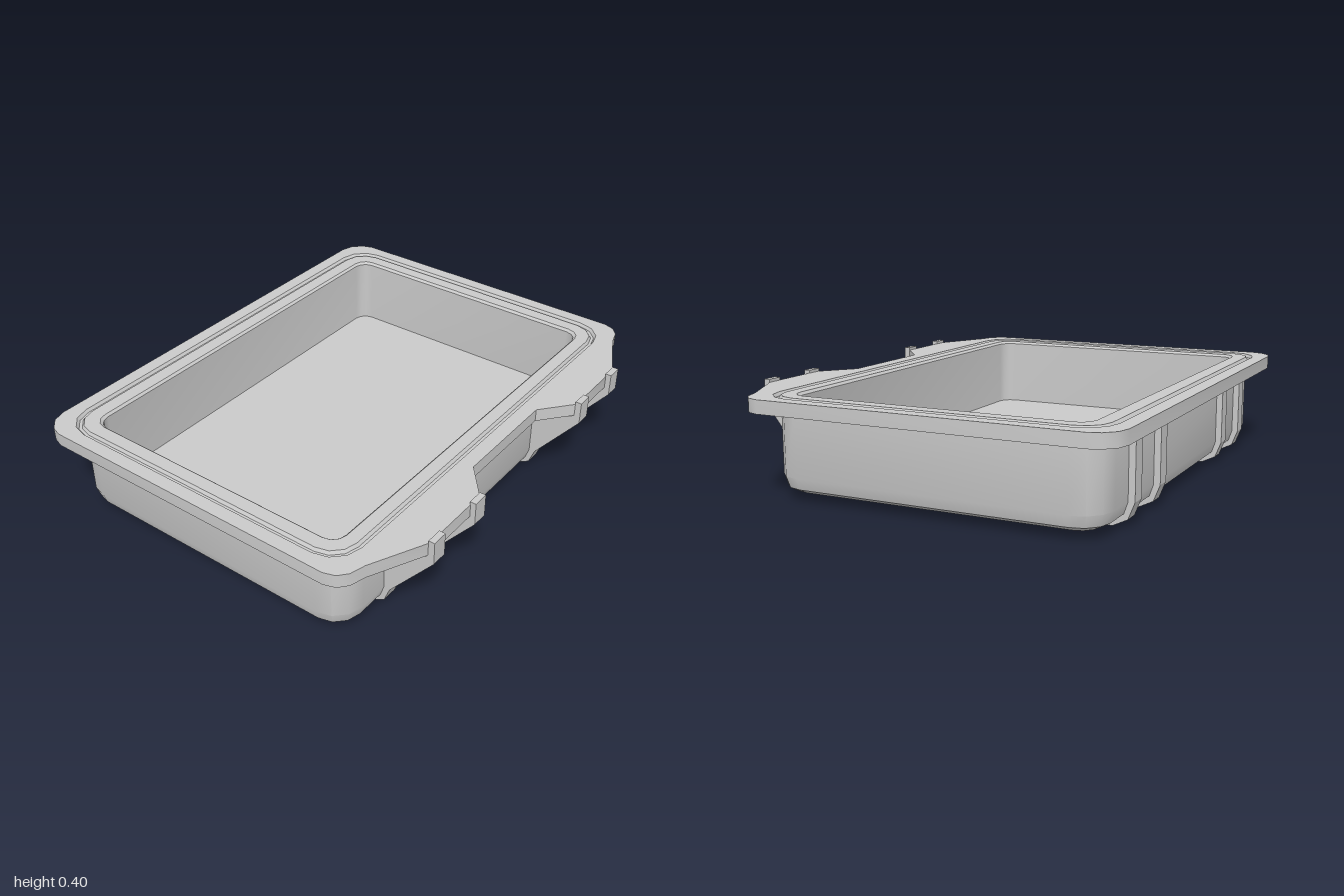
import * as THREE from 'three';
import { toCreasedNormals } from 'three/addons/utils/BufferGeometryUtils.js';

const CORNER_STEPS = 3;
const FLANGE_BOTTOM = 0.337, FLANGE_TOP = 0.39;
const FLOOR = 0.094, BASE = 0.026;

// Rounded rectangle in plan (x, -z), counter-clockwise from above
function plan(hx, zBack, zFront, r) {
  const corners = [
    [hx - r, -zBack - r, 0], [-hx + r, -zBack - r, 1],
    [-hx + r, -zFront + r, 2], [hx - r, -zFront + r, 3],
  ];
  const pts = [];
  for (const [cx, cy, q] of corners) {
    for (let i = 0; i <= CORNER_STEPS; i++) {
      const a = (q + i / CORNER_STEPS) * Math.PI / 2;
      pts.push(new THREE.Vector2(cx + r * Math.cos(a), cy + r * Math.sin(a)));
    }
  }
  return pts;
}

// Skin through plan loops at given heights: rows of [halfX, zBack, zFront, radius, y]
function loft(rows) {
  const rings = rows.map(([hx, zb, zf, r, y]) =>
    plan(hx, zb, zf, r).map(p => new THREE.Vector3(p.x, y, -p.y)));
  const pos = [];
  const tri = (a, b, c) => {
    if (a.distanceTo(b) < 1e-6 || b.distanceTo(c) < 1e-6 || c.distanceTo(a) < 1e-6) return;
    for (const p of [a, b, c]) pos.push(p.x, p.y, p.z);
  };
  for (let k = 0; k + 1 < rings.length; k++) {
    const a = rings[k], b = rings[k + 1];
    for (let i = 0; i < a.length; i++) {
      const j = (i + 1) % a.length;
      tri(a[i], a[j], b[j]);
      tri(a[i], b[j], b[i]);
    }
  }
  const geo = new THREE.BufferGeometry();
  geo.setAttribute('position', new THREE.Float32BufferAttribute(pos, 3));
  return toCreasedNormals(geo, 0.6);
}

export function createModel() {
  const group = new THREE.Group();
  const grey = new THREE.MeshStandardMaterial({ color: 0xcacaca });
  grey.name = 'plain grey';
  const add = (name, geo) => {
    const mesh = new THREE.Mesh(geo, grey);
    mesh.name = name;
    group.add(mesh);
    return mesh;
  };
  const centre = [0, -0.06, -0.06, 0];
  const grooveEdge = [0.945, -0.742, 0.61, 0.12];
  const cavityEdge = [0.865, -0.657, 0.532, 0.06];

  // Flange: rounded back corners, two front wings with a gap between them
  const rightHalf = [
    [0.23, 0.67], [0.36, 0.778], [0.67, 0.778], [0.89, 0.672],
    [0.95, 0.655], [0.985, 0.625], [1, 0.58],
    [1, -0.7], [0.985, -0.745], [0.945, -0.785], [0.89, -0.8],
  ];
  const outline = [...rightHalf, ...rightHalf.map(([x, z]) => [-x, z]).reverse()];
  const flange = new THREE.Shape(outline.map(([x, z]) => new THREE.Vector2(x, -z)));
  flange.holes.push(new THREE.Path(plan(...grooveEdge)));
  const flangeGeo = new THREE.ExtrudeGeometry(flange, {
    depth: FLANGE_TOP - FLANGE_BOTTOM, bevelEnabled: false,
  });
  flangeGeo.rotateX(-Math.PI / 2).translate(0, FLANGE_BOTTOM, 0);
  add('flange', toCreasedNormals(flangeGeo, 0.6));

  // Shallow seal groove and flat rim
  add('sealGrooveAndRim', loft([
    [...grooveEdge, FLANGE_TOP],
    [0.937, -0.734, 0.602, 0.115, FLANGE_TOP - 0.012],
    [0.926, -0.723, 0.591, 0.107, FLANGE_TOP - 0.012],
    [0.918, -0.715, 0.583, 0.1, FLANGE_TOP],
    [...cavityEdge, FLANGE_TOP],
  ]));

  // Inside of the tray
  add('cavity', loft([
    [...cavityEdge, FLANGE_TOP],
    [0.855, -0.648, 0.522, 0.055, FLANGE_TOP - 0.01],
    [0.855, -0.648, 0.522, 0.055, FLOOR],
    [...centre, FLOOR],
  ]));

  // Outside of the tray, chamfered twice round the base
  add('body', loft([
    [...centre, BASE],
    [0.865, -0.667, 0.54, 0.07, BASE],
    [0.903, -0.705, 0.58, 0.105, 0.046],
    [0.918, -0.72, 0.595, 0.12, 0.09],
    [0.918, -0.72, 0.595, 0.12, FLANGE_BOTTOM],
    [...grooveEdge, FLANGE_BOTTOM],
  ]));

  // Ribs wrapping under the body, with a gusset and tab at the front: [z, y]
  const ribProfile = [
    [0.8, 0.402], [0.8, 0.31], [0.62, 0.09], [0.597, 0.03], [0.54, 0],
    [-0.665, 0], [-0.72, 0.027], [-0.745, 0.09], [-0.745, 0.34],
    [-0.7, 0.34], [-0.7, 0.09], [-0.65, 0.045], [0.53, 0.045],
    [0.57, 0.09], [0.57, 0.34], [0.775, 0.34], [0.775, 0.402],
  ];
  const ribWidth = 0.065;
  const ribShape = new THREE.Shape(ribProfile.map(([z, y]) => new THREE.Vector2(-z, y)));
  const ribGeo = new THREE.ExtrudeGeometry(ribShape, { depth: ribWidth, bevelEnabled: false });
  ribGeo.translate(0, 0, -ribWidth / 2).rotateY(Math.PI / 2);
  for (const side of [-1, 1]) {
    for (const x of [0.388, 0.645]) {
      add(side > 0 ? 'leftRib' : 'rightRib', ribGeo).position.x = side * x;
    }
  }
  return group;
}
